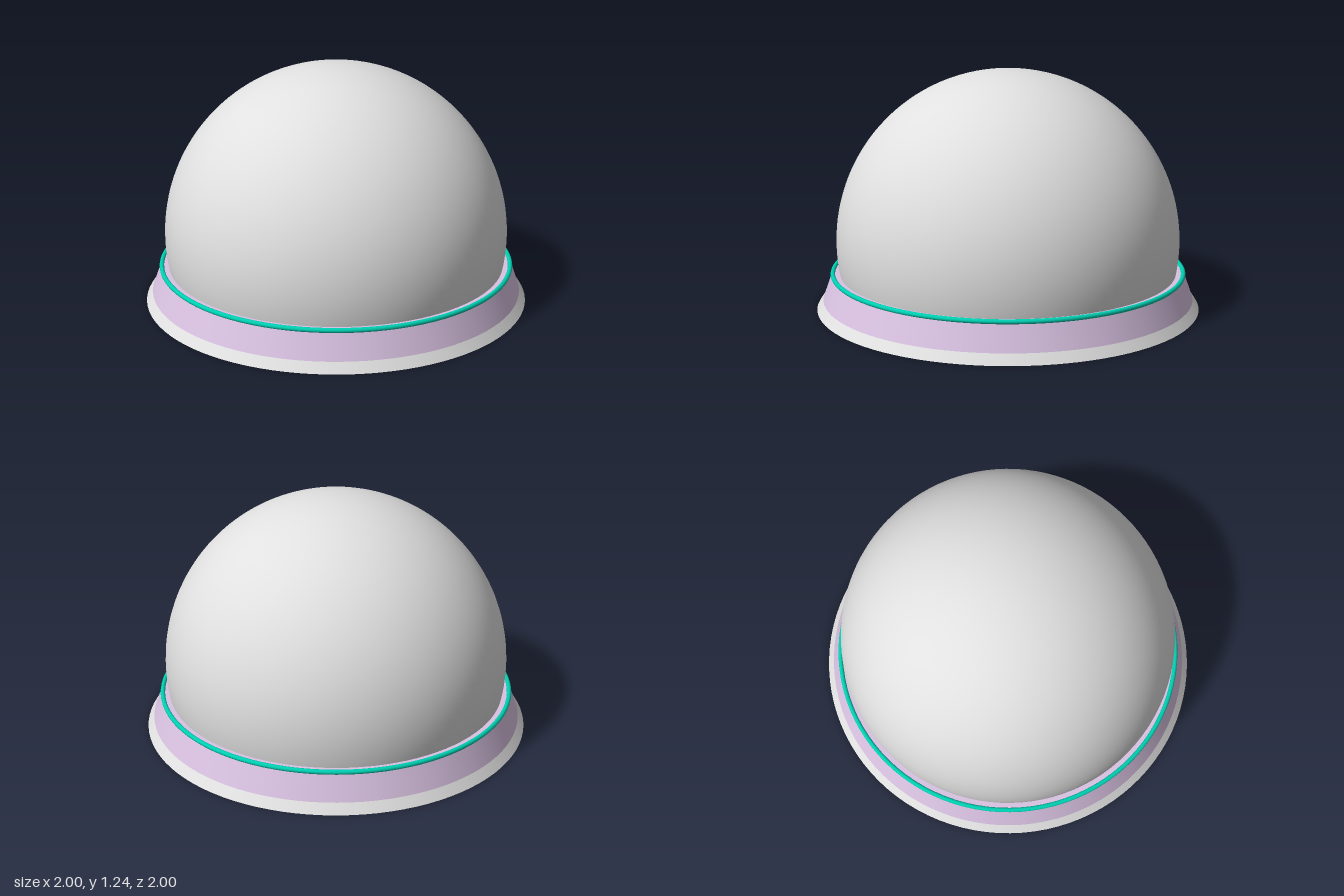
import * as THREE from 'three';

const SEGMENTS = 96;

export function createModel() {
  const model = new THREE.Group();
  const lightGrey = new THREE.MeshStandardMaterial({ color: 0xe0e0e0 });
  lightGrey.name = 'light grey';
  const lavender = new THREE.MeshStandardMaterial({ color: 0xd9c2e2 });
  lavender.name = 'lavender';
  const teal = new THREE.MeshStandardMaterial({ color: 0x00d0b2 });
  teal.name = 'teal';

  const add = (name, geometry, material, y) => {
    const mesh = new THREE.Mesh(geometry, material);
    mesh.name = name;
    mesh.position.y = y;
    model.add(mesh);
    return mesh;
  };

  // Dome: upper part of a sphere, sunk into the base collar
  add('dome', new THREE.SphereGeometry(0.892, SEGMENTS, 48, 0, Math.PI * 2, 0, 1.85), lightGrey, 0.348);

  // Flared foot with a closed underside
  add('foot', new THREE.CylinderGeometry(0.967, 1, 0.05, SEGMENTS), lightGrey, 0.025);

  // Tapered collar, its flat top showing as a narrow ledge around the dome
  add('collar', new THREE.CylinderGeometry(0.917, 0.967, 0.138, SEGMENTS), lavender, 0.119);

  // Thin trim ring on the collar's upper edge
  const ring = add('trimRing', new THREE.TorusGeometry(0.915, 0.012, 12, SEGMENTS), teal, 0.187);
  ring.rotation.x = Math.PI / 2;

  return model;
}
